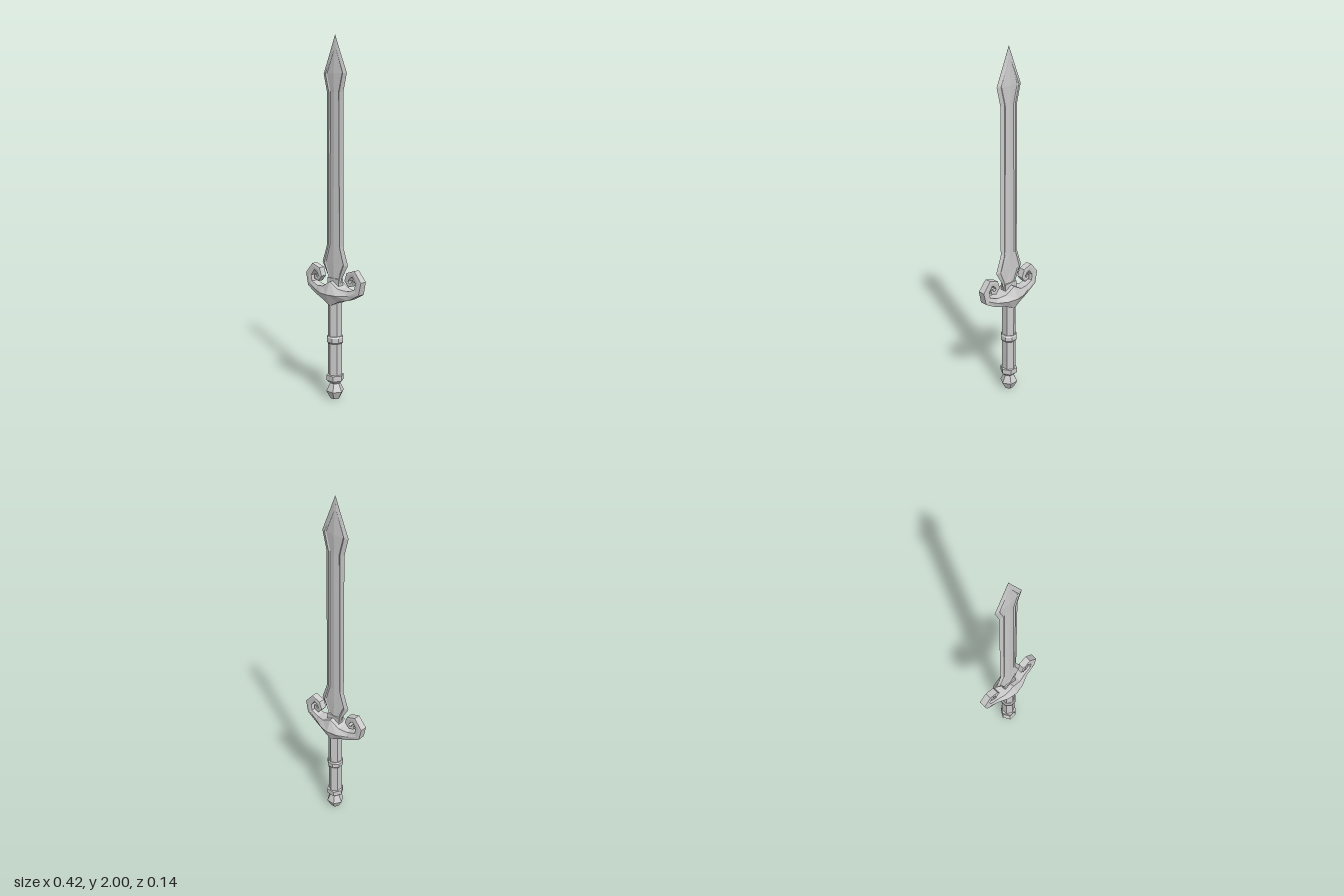
import * as THREE from 'three';

const material = new THREE.MeshStandardMaterial({ color: 0xcccccc, flatShading: true });

// Closed flat-shaded skin through rings that run counter-clockwise about the travel direction
function loft(name, rings) {
  const pos = [];
  const tri = (a, b, c) => pos.push(...a, ...b, ...c);
  const n = rings[0].length;
  for (let k = 0; k < rings.length - 1; k++) {
    const a = rings[k], b = rings[k + 1];
    for (let i = 0; i < n; i++) {
      const j = (i + 1) % n;
      tri(a[i], a[j], b[j]);
      tri(a[i], b[j], b[i]);
    }
  }
  const first = rings[0], last = rings[rings.length - 1];
  for (let i = 1; i < n - 1; i++) {
    tri(first[0], first[i + 1], first[i]);
    tri(last[0], last[i], last[i + 1]);
  }
  const geo = new THREE.BufferGeometry();
  geo.setAttribute('position', new THREE.Float32BufferAttribute(pos, 3));
  geo.computeVertexNormals();
  const mesh = new THREE.Mesh(geo, material);
  mesh.name = name;
  return mesh;
}

// Faceted turned part from [radius, y] pairs, closed at both ends
function turned(name, profile, sides, turn = 0) {
  const rings = profile.map(([r, y]) => Array.from({ length: sides }, (_, i) => {
    const a = turn + (i / sides) * Math.PI * 2;
    return [r * Math.cos(a), y, -r * Math.sin(a)];
  }));
  return loft(name, rings);
}

// Blade: bevelled edge, small step down, then a raised centre ridge
function makeBlade() {
  // y, edge half-width, inner half-width, bevel height, step floor, ridge height
  const sections = [
    [0.62, 0.04, 0.025, 0.012, 0.009, 0.016],
    [0.69, 0.05, 0.032, 0.011, 0.008, 0.015],
    [0.77, 0.097, 0.065, 0.01, 0.006, 0.012],
    [0.87, 0.062, 0.034, 0.01, 0.006, 0.011],
    [1.7, 0.06, 0.03, 0.009, 0.005, 0.01],
    [1.8, 0.086, 0.056, 0.009, 0.005, 0.012],
    [1.93, 0.03, 0.001, 0.005, 0.005, 0.005],
    [2.0, 0.0005, 0.0002, 0.0005, 0.0005, 0.0005],
  ];
  return loft('blade', sections.map(([y, w, inner, bevel, floor, ridge]) => {
    const rim = Math.min(inner + 0.008, w * 0.9);
    const half = [[w, 0], [rim, -bevel], [inner, -floor], [0, -ridge], [-inner, -floor], [-rim, -bevel]];
    return [...half, ...half.map(([x, z]) => [-x, -z])].map(([x, z]) => [x, y, z]);
  }));
}

// Guard: thick in the middle, thinning into upturned scrolls
function makeGuard() {
  // x, y, half-height, half-depth, depth ratio of top and bottom edges
  const arm = [
    [0, 0.607, 0.069, 0.072, 0.6],
    [0.06, 0.605, 0.036, 0.06, 0.65],
    [0.12, 0.61, 0.025, 0.034, 0.75],
    [0.178, 0.637, 0.021, 0.025, 0.85],
    [0.19, 0.69, 0.021, 0.022, 0.9],
    [0.153, 0.736, 0.019, 0.021, 0.9],
    [0.116, 0.722, 0.017, 0.021, 0.9],
    [0.102, 0.69, 0.014, 0.02, 0.9],
    [0.119, 0.667, 0.011, 0.018, 0.9],
    [0.14, 0.674, 0.01, 0.016, 0.9],
    [0.142, 0.692, 0.007, 0.014, 0.9],
  ];
  const mirrored = arm.slice(1).reverse().map(([x, ...rest]) => [-x, ...rest]);
  const path = [...mirrored, ...arm];
  return loft('guard', path.map(([x, y, h, d, r], i) => {
    const p = path[Math.max(i - 1, 0)], q = path[Math.min(i + 1, path.length - 1)];
    const len = Math.hypot(q[0] - p[0], q[1] - p[1]);
    const nx = -(q[1] - p[1]) / len, ny = (q[0] - p[0]) / len;
    return [[h, -r * d], [h, r * d], [0, d], [-h, r * d], [-h, -r * d], [0, -d]]
      .map(([s, z]) => [x + nx * s, y + ny * s, z]);
  }));
}

export function createModel() {
  const model = new THREE.Group();
  model.name = 'sword';
  model.add(makeBlade(), makeGuard());

  // Collar where the blade enters the guard
  const collar = new THREE.Mesh(new THREE.BoxGeometry(0.085, 0.08, 0.036), material);
  collar.name = 'bladeCollar';
  collar.position.y = 0.65;
  model.add(collar);

  // Handle parts
  model.add(
    turned('grip', [[0.04, 0.11], [0.04, 0.58]], 6, Math.PI / 2),
    turned('gripRing', [[0.042, 0.322], [0.048, 0.33], [0.048, 0.355], [0.042, 0.363]], 8, Math.PI / 8),
    turned('pommelRing', [[0.03, 0.09], [0.05, 0.108], [0.05, 0.138], [0.038, 0.14]], 6),
    turned('pommel', [[0.027, 0], [0.051, 0.045], [0.028, 0.092], [0.028, 0.1]], 6),
  );
  return model;
}
